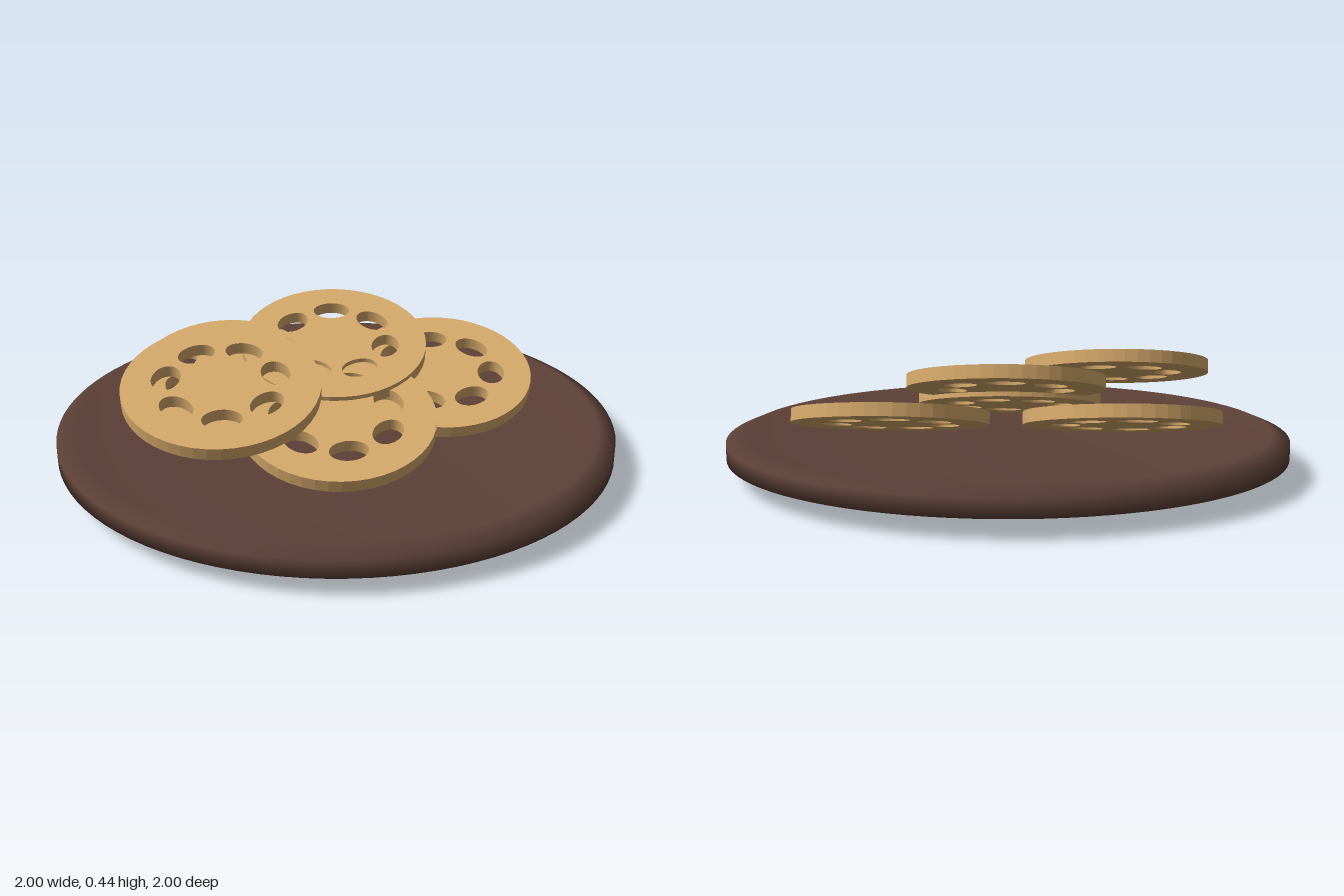
import * as THREE from 'three';

const SLICE_RADIUS = 0.343;
const SLICE_THICKNESS = 0.045;
const TILT = THREE.MathUtils.degToRad(15);

// Round slice pierced by a ring of seven oval holes
function sliceGeometry() {
  const shape = new THREE.Shape();
  shape.absarc(0, 0, SLICE_RADIUS, 0, Math.PI * 2, false);
  for (let i = 0; i < 7; i++) {
    const a = (i / 7) * Math.PI * 2;
    const hole = new THREE.Path();
    hole.absellipse(0.193 * Math.cos(a), 0.193 * Math.sin(a), 0.05, 0.068, 0, Math.PI * 2, true, a);
    shape.holes.push(hole);
  }
  const geometry = new THREE.ExtrudeGeometry(shape, {
    depth: SLICE_THICKNESS, bevelEnabled: false, curveSegments: 24,
  });
  geometry.translate(0, 0, -SLICE_THICKNESS / 2);
  return geometry;
}

export function createModel() {
  const group = new THREE.Group();
  const plateBrown = new THREE.MeshStandardMaterial({ color: 0x5d4037 });
  plateBrown.name = 'plateBrown';
  const sliceTan = new THREE.MeshStandardMaterial({ color: 0xd4a86a });
  sliceTan.name = 'sliceTan';

  // Shallow dished plate with a bevelled rim
  const profile = [
    [0, 0], [0.7, 0], [1, 0.065], [1, 0.125], [0.94, 0.15], [0.7, 0.092], [0, 0.09],
  ].map(([r, y]) => new THREE.Vector2(r, y));
  const plate = new THREE.Mesh(new THREE.LatheGeometry(profile, 96), plateBrown);
  plate.name = 'plate';
  group.add(plate);

  // Overlapping slices, all leaning down to the front: x, y, z, turn in degrees
  const geometry = sliceGeometry();
  const slices = [
    ['lowerSliceRight', -0.4, 0.206, -0.2, 1],
    ['lowerSliceLeft', 0.4, 0.206, -0.2, 7],
    ['lowerSliceFront', 0, 0.206, 0.2, 30],
    ['upperSliceBack', 0, 0.33, -0.2, 12],
    ['upperSliceFront', -0.4, 0.33, 0.2, 35.5],
  ];
  for (const [name, x, y, z, turn] of slices) {
    const slice = new THREE.Mesh(geometry, sliceTan);
    slice.name = name;
    slice.position.set(x, y, z);
    // Lay flat, tilt, and turn about the slice's own axis
    slice.rotation.set(Math.PI / 2 + TILT, 0, THREE.MathUtils.degToRad(turn));
    group.add(slice);
  }
  return group;
}
